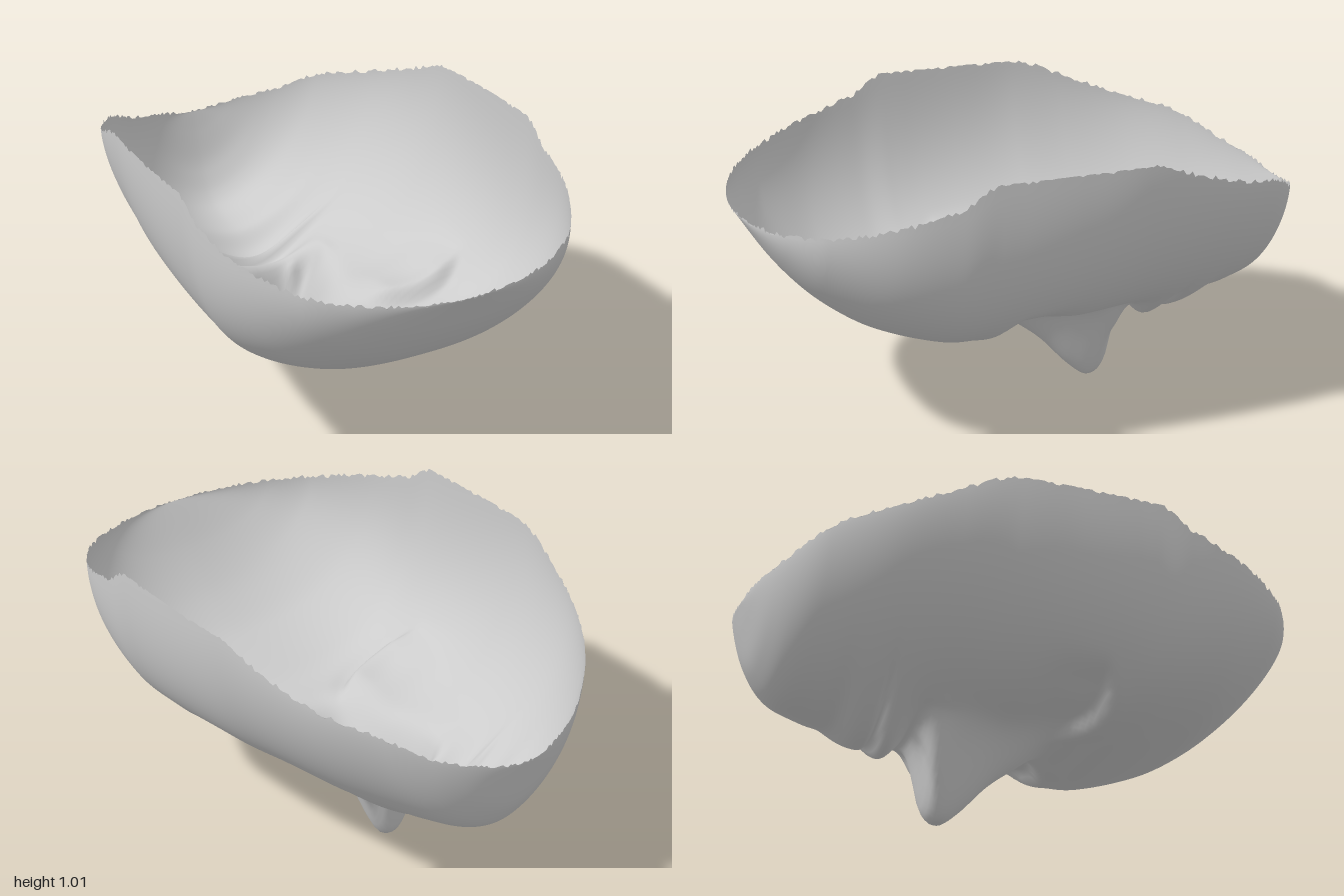
import * as THREE from 'three';

// Smooth interpolation through [z, value] pairs sorted by z
function curve(points) {
  const n = points.length;
  const slope = points.map((p, i) => {
    const a = points[Math.max(i - 1, 0)], b = points[Math.min(i + 1, n - 1)];
    return (b[1] - a[1]) / (b[0] - a[0]);
  });
  return (z) => {
    if (z <= points[0][0]) return points[0][1];
    if (z >= points[n - 1][0]) return points[n - 1][1];
    let i = 0;
    while (z > points[i + 1][0]) i++;
    const [z0, a] = points[i], [z1, b] = points[i + 1];
    const h = z1 - z0, t = (z - z0) / h, t2 = t * t, t3 = t2 * t;
    return a * (2 * t3 - 3 * t2 + 1) + b * (3 * t2 - 2 * t3)
      + h * (slope[i] * (t3 - 2 * t2 + t) + slope[i + 1] * (t3 - t2));
  };
}

// Outline half width (squared, so that the ends come out round)
const widthSq = curve([[-1, 0], [-0.96, 0.195], [-0.9, 0.305], [-0.8, 0.42], [-0.6, 0.55], [-0.4, 0.615],
  [-0.2, 0.65], [0, 0.66], [0.2, 0.66], [0.4, 0.65], [0.6, 0.61], [0.8, 0.495], [0.9, 0.37], [0.96, 0.24],
  [1, 0]].map(([z, w]) => [z, w * w]));
// Height of the open rim
const rim = curve([[-1, 0.68], [-0.97, 0.71], [-0.9, 0.75], [-0.8, 0.82], [-0.6, 0.88], [-0.4, 0.95], [-0.23, 1.01],
  [0.28, 1.01], [0.38, 0.95], [0.46, 0.92], [0.57, 0.89], [0.73, 0.85], [0.85, 0.825], [1, 0.8]]);
// Lowest line of the face, chin to forehead, without the features
const spine = curve([[-1, 0.68], [-0.98, 0.6], [-0.95, 0.5], [-0.92, 0.44], [-0.88, 0.385], [-0.83, 0.35],
  [-0.75, 0.33], [-0.65, 0.32], [-0.5, 0.32], [-0.35, 0.33], [-0.2, 0.335], [0, 0.34], [0.12, 0.335],
  [0.3, 0.315], [0.4, 0.33], [0.6, 0.395], [0.7, 0.45], [0.8, 0.53], [0.9, 0.645], [1, 0.8]]);
// How far the nose stands out, and its breadth
const noseDepth = curve([[-0.4, 0], [-0.375, 0.06], [-0.355, 0.15], [-0.335, 0.26], [-0.31, 0.315], [-0.27, 0.335],
  [-0.2, 0.285], [-0.1, 0.18], [0, 0.1], [0.1, 0.025], [0.2, 0]]);
const noseBreadth = curve([[-0.4, 0.135], [-0.27, 0.125], [-0.1, 0.105], [0.1, 0.09]]);

const bell = (d, s, power = 2) => Math.exp(-(Math.abs(d / s) ** power));
const step = THREE.MathUtils.smoothstep;

function features(x, z) {
  let y = -noseDepth(z) * bell(x + 0.018, noseBreadth(z), 2.4);
  const ax = Math.abs(x);
  // Nose wings, nostrils and the crease beside the wings
  y -= 0.02 * bell(ax - 0.13, 0.035) * bell(z + 0.32, 0.035);
  y += 0.06 * bell(ax - 0.075, 0.03) * bell(z + 0.345, 0.022);
  y += 0.015 * bell(ax - 0.19, 0.03) * bell(z + 0.32, 0.06);
  // Shallow eye sockets under a sharp curved brow, with closed lids
  const brow = 0.205 - 1.7 * (ax - 0.34) ** 2;
  const across = step(ax, 0.08, 0.22) * (1 - step(ax, 0.38, 0.53));
  y += 0.045 * across * (1 - step(z, brow - 0.03, brow + 0.015)) * step(z, -0.12, 0.16);
  y -= 0.015 * bell(ax - 0.33, 0.11) * bell(z - 0.1, 0.06);
  y -= 0.008 * across * bell(z - brow - 0.03, 0.04);
  // Narrow mound of the mouth, lips and the groove between them
  y -= 0.07 * bell(x, 0.19) * bell(z + 0.51, 0.13);
  const mouth = bell(x, 0.29, 4);
  const line = -0.515 + 0.04 * x - 0.1 * x * x;
  y += mouth * (0.028 * bell(z - line, 0.014) - 0.008 * bell(z - line + 0.07, 0.04)
    + 0.008 * bell(z - line + 0.14, 0.035)) - 0.035 * bell(x, 0.17) * bell(z - line - 0.05, 0.045);
  return y;
}

// Small repeatable roughness for the torn rim
const rough = (i) => { const s = Math.sin(i * 12.9898) * 43758.5453; return s - Math.floor(s) - 0.5; };

function faceShell() {
  const rows = 240, cols = 130, pos = [], index = [];
  for (let r = 0; r <= rows; r++) {
    const z = -Math.cos(Math.PI * r / rows);
    const w = Math.sqrt(Math.max(widthSq(z), 0));
    const bottom = spine(z), top = Math.min(rim(z), 1.01);
    // The jaw and the top of the forehead are rounder in section than the brow
    const blend = step(z, -0.8, 0.2), crown = step(z, 0.35, 0.9);
    const p = 1.8 + 1.2 * blend - 0.6 * crown, q = 0.62 - 0.22 * blend + 0.1 * crown;
    for (let c = 0; c <= cols; c++) {
      const u = 2 * c / cols - 1, s = Math.sin(u * Math.PI / 2), t = Math.abs(s);
      const x = w * s;
      const rise = 1 - Math.pow(Math.max(1 - t ** p, 0), q);
      let y = bottom + (top - bottom) * rise + features(x, z) * (1 - step(t, 0.85, 1));
      if (c === 0 || c === cols) y = Math.min(y + 0.018 * rough(r + c * 7), 1.01);
      pos.push(x, Math.max(y, 0), z);
    }
  }
  for (let r = 0; r < rows; r++) {
    for (let c = 0; c < cols; c++) {
      const a = r * (cols + 1) + c, b = a + 1, d = a + cols + 1, e = d + 1;
      index.push(a, b, d, b, e, d);
    }
  }
  const g = new THREE.BufferGeometry();
  g.setAttribute('position', new THREE.Float32BufferAttribute(pos, 3));
  g.setIndex(index);
  g.computeVertexNormals();
  return g;
}

export function createModel() {
  const group = new THREE.Group();
  group.name = 'faceMask';
  // Thin open shell lying face down, forehead to the front
  const shell = new THREE.Mesh(faceShell(),
    new THREE.MeshStandardMaterial({ color: 0xcccccc, side: THREE.DoubleSide }));
  shell.name = 'faceShell';
  group.add(shell);
  return group;
}
